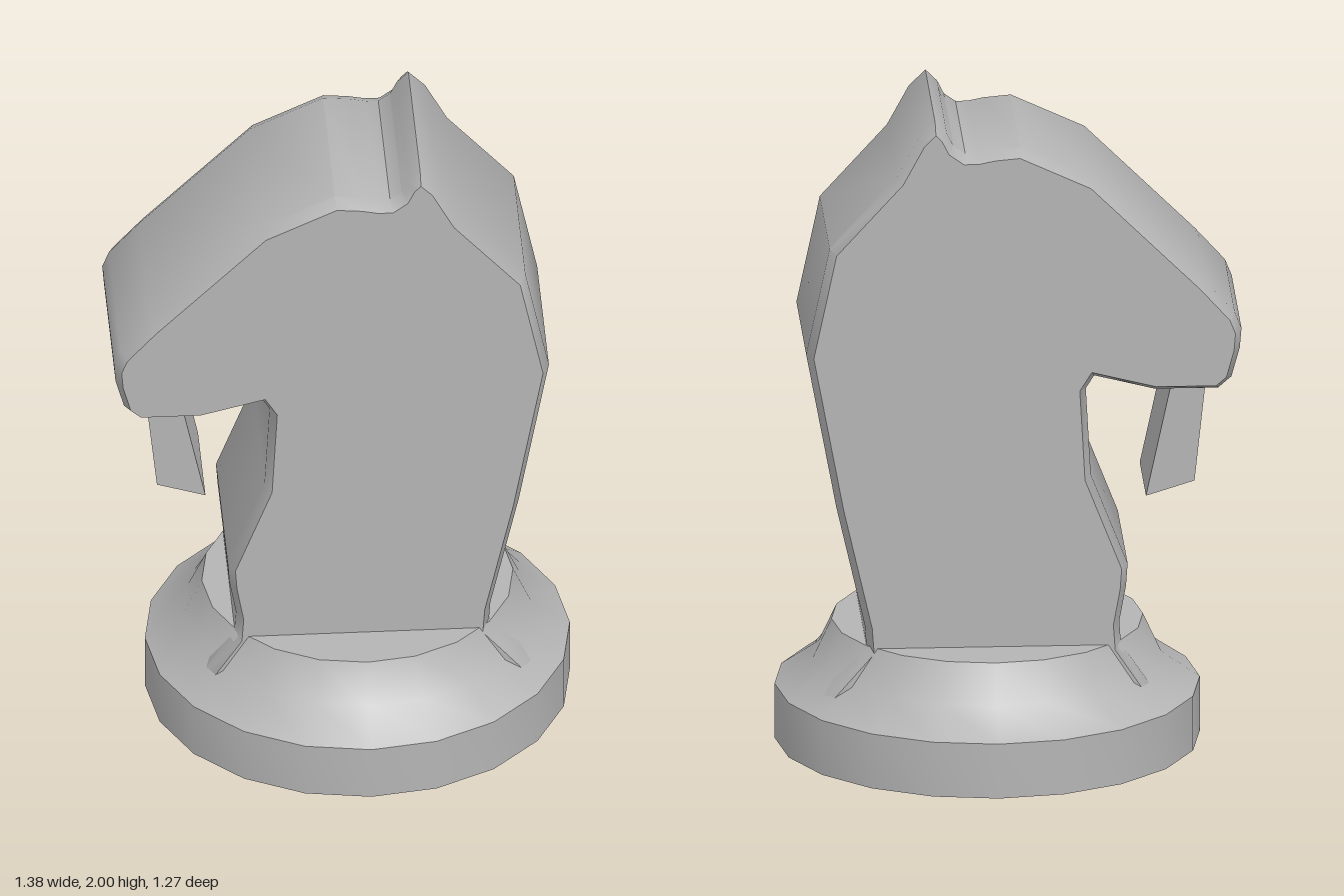
import * as THREE from 'three';
import { toCreasedNormals } from 'three/addons/utils/BufferGeometryUtils.js';

const grey = new THREE.MeshStandardMaterial({ color: 0xb4b4b4 });
grey.name = 'stone grey';

const points = (list) => list.map(([x, y]) => new THREE.Vector2(x, y));

function part(name, geometry, crease = 0.62) {
  const mesh = new THREE.Mesh(toCreasedNormals(geometry, crease), grey);
  mesh.name = name;
  return mesh;
}

// Side outline swept across z, optionally chamfered inwards at both faces
function slab(outline, halfWidth, inset = 0, chamfer = 0) {
  const depth = 2 * (halfWidth - chamfer);
  const geometry = new THREE.ExtrudeGeometry(new THREE.Shape(points(outline)), {
    depth,
    bevelEnabled: inset > 0,
    bevelSize: inset,
    bevelOffset: -inset,
    bevelThickness: chamfer,
    bevelSegments: 1,
  });
  return geometry.translate(0, 0, -depth / 2);
}

export function createModel() {
  const group = new THREE.Group();
  group.name = 'chessKnight';

  // Twenty-sided foot with a hollowed shoulder
  const base = part('base', new THREE.LatheGeometry(points([
    [0, 0], [0.635, 0], [0.635, 0.17], [0.52, 0.25], [0.465, 0.37], [0, 0.37],
  ]), 20));
  base.position.x = 0.055;
  group.add(base);

  // Neck and head; the flared root pokes through the shoulder of the foot
  group.add(part('horseBody', slab([
    [0.56, 0.03], [0.56, 0.21], [0.43, 0.36], [0.435, 0.43], [0.52, 0.8],
    [0.61, 1.28], [0.54, 1.61], [0.34, 1.83], [0.275, 1.95], [0.225, 2.0],
    [0.19, 1.965], [0.17, 1.925], [0.135, 1.9], [0.1, 1.9], [0.05, 1.91],
    [-0.03, 1.917], [-0.25, 1.815], [-0.58, 1.49], [-0.67, 1.39],
    [-0.69, 1.34], [-0.685, 1.28], [-0.66, 1.19], [-0.62, 1.155],
    [-0.43, 1.155], [-0.25, 1.2], [-0.225, 1.16], [-0.24, 0.89],
    [-0.35, 0.61], [-0.345, 0.54], [-0.325, 0.43], [-0.33, 0.36],
    [-0.43, 0.21], [-0.43, 0.03],
  ], 0.305, 0.02, 0.045)));

  // Lower jaw hanging from the muzzle
  group.add(part('lowerJaw', slab([
    [-0.555, 0.835], [-0.41, 0.79], [-0.49, 1.16], [-0.52, 1.3], [-0.6, 1.3], [-0.59, 1.16],
  ], 0.165)));

  return group;
}
